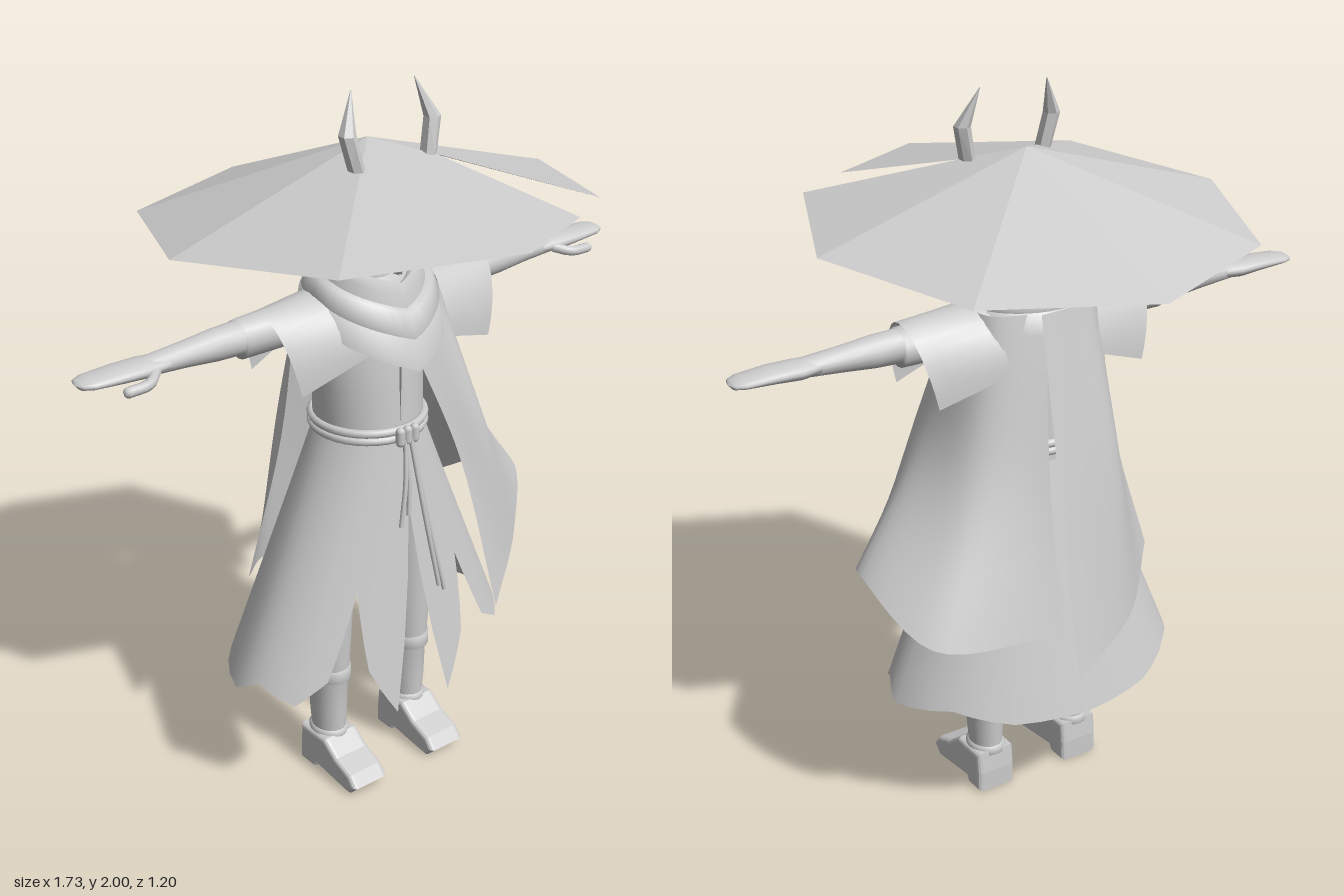
import * as THREE from 'three';
import { mergeVertices } from 'three/addons/utils/BufferGeometryUtils.js';

const grey = new THREE.MeshStandardMaterial({ color: 0xcccccc, side: THREE.DoubleSide });
grey.name = 'plain grey';

const V = (x, y, z) => new THREE.Vector3(x, y, z);

// Surface through rows of points, listed top to bottom
function sheet(rows, flat = false) {
  const n = rows[0].length, pos = [], idx = [];
  rows.forEach(r => r.forEach(p => pos.push(p.x, p.y, p.z)));
  for (let i = 0; i < rows.length - 1; i++) {
    for (let j = 0; j < n - 1; j++) {
      const a = i * n + j, b = a + n;
      idx.push(a, b, b + 1, a, b + 1, a + 1);
    }
  }
  let g = new THREE.BufferGeometry();
  g.setAttribute('position', new THREE.Float32BufferAttribute(pos, 3));
  g.setIndex(idx);
  g = flat ? g.toNonIndexed() : mergeVertices(g, 1e-4);
  g.computeVertexNormals();
  return g;
}

// Tube of elliptical rings [y, rx, rz, cx, cz], listed top to bottom
function loft(sections, sides = 20, flat = false) {
  return sheet(sections.map(([y, rx, rz, cx = 0, cz = 0]) =>
    Array.from({ length: sides + 1 }, (_, j) => {
      const t = (j % sides) / sides * Math.PI * 2;
      return V(cx + rx * Math.sin(t), y, cz + rz * Math.cos(t));
    })), flat);
}

// Cloth spanned by a few hanging edges, each a list of [x, y, z]
function cloth(edges, down = 12, across = 20) {
  const lines = edges.map(e => new THREE.CatmullRomCurve3(e.map(p => V(...p))).getPoints(down));
  return sheet(Array.from({ length: down + 1 }, (_, i) =>
    new THREE.CatmullRomCurve3(lines.map(l => l[i])).getPoints(across)));
}

function add(parent, name, geometry) {
  const m = new THREE.Mesh(geometry, grey);
  m.name = name;
  parent.add(m);
  return m;
}

// Octagonal tilted hat with a wedge torn out at the front
function hatGeometry() {
  const rimY = z => 1.667 + 0.0875 * z;
  const rim = [];
  for (let k = 1; k <= 8; k++) {
    const t = k * Math.PI / 4;
    rim.push([0.6 * Math.sin(t), 0.6 * Math.cos(t)]);
  }
  rim[0] = [0.435, 0.395];
  rim.push([0.28, 0.48]);
  const pts = rim.map(([x, z]) => V(x, rimY(z), z));
  const apex = V(0, 1.85, 0), notch = V(0.13, 1.807, 0.12);
  const tris = [];
  for (let k = 0; k < 7; k++) tris.push(apex, pts[k], pts[k + 1]);
  tris.push(apex, pts[7], notch, pts[7], pts[8], notch, apex, notch, pts[0]);
  const g = new THREE.BufferGeometry().setFromPoints(tris);
  g.computeVertexNormals();
  return g;
}

// Flared skirt whose hem has points and slits
function skirtGeometry() {
  const hem = [[0, 0.88], [0.19, 0.28], [0.41, 0.43], [0.565, 0.66], [0.72, 0.42], [0.95, 0.36],
    [1.35, 0.41], [1.65, 0.37], [2.2, 0.39], [2.65, 0.35], [Math.PI, 0.34]];
  const half = [];
  for (let k = 0; k < hem.length - 1; k++) {
    for (let s = 0; s < 3; s++) {
      half.push([0, 1].map(c => THREE.MathUtils.lerp(hem[k][c], hem[k + 1][c], s / 3)));
    }
  }
  half.push(hem[hem.length - 1]);
  const all = [...half.slice(1).reverse().map(([t, y]) => [-t, y]), ...half];
  return sheet(Array.from({ length: 9 }, (_, i) => all.map(([t, yEnd]) => {
    const y = THREE.MathUtils.lerp(1.07, yEnd, i / 8), d = 1.07 - y;
    const rz = Math.cos(t) > 0 ? 0.15 + 0.13 * d : 0.14 + 0.23 * d;
    return V((0.15 + 0.42 * d) * Math.sin(t), y, rz * Math.cos(t));
  })));
}

// Wrapped scarf layer drooping to a V at the front: rows of [radius, y, droop]
function scarfLayer(rows) {
  return sheet(rows.map(([r, y, droop]) => Array.from({ length: 41 }, (_, j) => {
    const t = (j % 40) / 40 * Math.PI * 2, a = Math.min(t, Math.PI * 2 - t);
    const f = Math.max(0, 1 - a / 1.5);
    return V(r * Math.sin(t), y - droop * f, r * Math.cos(t) * (0.9 + 0.12 * f) + 0.01);
  })));
}

// Short open sleeve hanging over the shoulder
function sleeveGeometry(reach) {
  const rows = [];
  for (let i = 0; i <= 6; i++) {
    const u = i / 6, row = [];
    for (let j = 0; j <= 16; j++) {
      const a = Math.PI * j / 16, c = Math.cos(a), s = Math.sin(a);
      const drop = 1 - s;
      row.push(V(0.1 + (reach - 0.1) * u - 0.05 * u * drop,
        1.48 - 0.02 * u - (0.16 + 0.05 * u) * drop, (0.14 - 0.03 * u) * c - 0.01));
    }
    rows.push(row);
  }
  return sheet(rows);
}

function buildArm(side) {
  const arm = new THREE.Group();
  arm.name = side > 0 ? 'leftArm' : 'rightArm';
  const along = s => loft(s, 16).rotateZ(Math.PI / 2);
  add(arm, 'upperSleeve', along([[-0.1, 0.06, 0.07, 1.41, -0.02], [-0.4, 0.052, 0.052, 1.4, -0.02],
    [-0.41, 0.01, 0.01, 1.4, -0.02]]));
  add(arm, 'forearm', along([[-0.38, 0.045, 0.046, 1.405, -0.02], [-0.47, 0.042, 0.043, 1.405, -0.02],
    [-0.56, 0.033, 0.037, 1.405, -0.02], [-0.68, 0.023, 0.034, 1.405, -0.018]]));
  add(arm, 'hand', along([[-0.62, 0.02, 0.035, 1.405, -0.018], [-0.68, 0.024, 0.045, 1.405, -0.02],
    [-0.75, 0.02, 0.047, 1.408, -0.02], [-0.83, 0.014, 0.043, 1.408, -0.023],
    [-0.855, 0.01, 0.03, 1.407, -0.025], [-0.863, 0.001, 0.005, 1.407, -0.025]]));
  const thumb = new THREE.CatmullRomCurve3([V(0.66, 1.4, 0.01), V(0.7, 1.388, 0.042), V(0.76, 1.385, 0.045)]);
  add(arm, 'thumb', new THREE.TubeGeometry(thumb, 8, 0.014, 8));
  add(arm, 'thumbTip', new THREE.SphereGeometry(0.014, 8, 6)).position.set(0.76, 1.385, 0.045);
  add(arm, 'shoulderSleeve', sleeveGeometry(side > 0 ? 0.39 : 0.34));
  arm.scale.x = side;
  return arm;
}

function buildLeg(side) {
  const leg = new THREE.Group();
  leg.name = side > 0 ? 'leftLeg' : 'rightLeg';
  add(leg, 'trouserLeg', loft([[0.85, 0.08, 0.09], [0.5, 0.068, 0.075], [0.32, 0.056, 0.066]]));
  add(leg, 'bootShaft', loft([[0.345, 0.05, 0.06], [0.34, 0.06, 0.074], [0.305, 0.06, 0.074],
    [0.3, 0.052, 0.064], [0.2, 0.05, 0.06], [0.13, 0.045, 0.055], [0.09, 0.046, 0.055]]));
  add(leg, 'ankleBand', loft([[0.135, 0.046, 0.055], [0.13, 0.053, 0.062], [0.112, 0.054, 0.064], [0.106, 0.046, 0.055]]));
  const outline = [[-0.05, 0.012], [-0.005, 0.012], [0.005, 0.03], [0.07, 0.022], [0.16, 0.012],
    [0.178, 0.03], [0.16, 0.052], [0.1, 0.075], [0.05, 0.112], [-0.045, 0.112], [-0.05, 0.06]];
  const boot = new THREE.ExtrudeGeometry(new THREE.Shape(outline.map(p => new THREE.Vector2(...p))),
    { depth: 0.09, bevelSize: 0.012, bevelThickness: 0.014, bevelSegments: 3 });
  add(leg, 'bootFoot', boot.translate(0, 0, -0.045).rotateY(-Math.PI / 2));
  leg.position.x = 0.143 * side;
  return leg;
}

export function createModel() {
  const model = new THREE.Group();
  model.name = 'wanderer';

  add(model, 'hat', hatGeometry());
  // Bent horns, head and mask
  for (const s of [-1, 1]) {
    add(model, 'horn', loft([[2, 0.001, 0.001, 0.1, 0.06], [1.9, 0.022, 0.024, 0.135, 0.09],
      [1.81, 0.02, 0.026, 0.115, 0.1]], 6, true)).scale.x = s;
    const brow = add(model, 'brow', new THREE.BoxGeometry(0.12, 0.02, 0.025));
    brow.position.set(0.062 * s, 1.695, 0.135);
    brow.rotation.set(0, 0.5 * s, 0.45 * s);
    const cheek = add(model, 'cheekRidge', new THREE.BoxGeometry(0.1, 0.014, 0.02));
    cheek.position.set(0.055 * s, 1.63, 0.125);
    cheek.rotation.set(0, 0.5 * s, 0.6 * s);
  }
  add(model, 'head', new THREE.SphereGeometry(0.125, 24, 18).scale(1, 1.1, 1.02)).position.set(0, 1.68, -0.005);
  add(model, 'neck', loft([[1.6, 0.06, 0.06], [1.45, 0.075, 0.07]]));
  const mask = [[1.78, 0.09, 0.1, 0.06], [1.71, 0.13, 0.145, 0.04], [1.67, 0.125, 0.135, 0.03],
    [1.61, 0.085, 0.15, 0.05], [1.57, 0.05, 0.14, 0.08], [1.52, 0.008, 0.12, 0.11]];
  add(model, 'mask', sheet(mask.map(([y, w, zc, zs]) => [-1, -0.5, 0, 0.5, 1].map(k =>
    V(k * w, y, k === 0 ? zc : Math.abs(k) === 1 ? zs : (zc + zs) / 2 + 0.02))), true));

  // Scarf
  add(model, 'scarfTop', scarfLayer([[0.1, 1.53, 0.05], [0.125, 1.56, 0.06], [0.14, 1.54, 0.07], [0.15, 1.49, 0.09]]));
  add(model, 'scarfMiddle', scarfLayer([[0.13, 1.51, 0.07], [0.165, 1.51, 0.08], [0.185, 1.47, 0.1], [0.17, 1.44, 0.11]]));
  add(model, 'scarfBottom', scarfLayer([[0.14, 1.47, 0.06], [0.185, 1.46, 0.1], [0.2, 1.41, 0.13]]));

  // Body and skirt
  add(model, 'torso', loft([[1.5, 0.06, 0.06], [1.47, 0.14, 0.1], [1.37, 0.165, 0.13], [1.2, 0.155, 0.138], [1.04, 0.15, 0.148]], 28));
  add(model, 'robeSeam', new THREE.BoxGeometry(0.006, 0.2, 0.008)).position.set(0, 1.2, 0.14);
  add(model, 'skirt', skirtGeometry());

  // Belt with knot and hanging cords
  for (const y of [1.07, 1.092]) {
    add(model, 'beltCord', new THREE.TorusGeometry(0.152, 0.012, 8, 36).rotateX(Math.PI / 2)).position.y = y;
  }
  for (const x of [-0.024, 0, 0.024]) {
    add(model, 'beltKnot', new THREE.CapsuleGeometry(0.013, 0.03, 4, 8)).position.set(x, 1.08, 0.168);
  }
  for (const [x, y, z] of [[-0.045, 0.83, 0.2], [-0.02, 0.86, 0.2], [0.07, 0.62, 0.225], [0.09, 0.6, 0.225]]) {
    const path = new THREE.CatmullRomCurve3([V(x * 0.15, 1.07, 0.168), V(x * 0.5, (1.07 + y) / 2, (0.168 + z) / 2 + 0.005), V(x, y, z)]);
    add(model, 'hangingCord', new THREE.TubeGeometry(path, 12, 0.007, 6));
  }

  // Cloak sweeping over the left shoulder, and the panel down the back
  add(model, 'cloak', cloth([
    [[0.02, 1.33, 0.16], [0.16, 0.97, 0.2], [0.26, 0.49, 0.255]],
    [[0.13, 1.43, 0.13], [0.26, 1.02, 0.19], [0.41, 0.64, 0.16]],
    [[0.19, 1.46, 0.02], [0.3, 1.08, 0.05], [0.52, 0.78, 0.02]],
    [[0.17, 1.46, -0.1], [0.27, 1.05, -0.14], [0.45, 0.65, -0.25]],
    [[0.04, 1.46, -0.15], [0.08, 1.05, -0.23], [0.1, 0.62, -0.32]]], 14, 28));
  add(model, 'backPanel', cloth([
    [[0.06, 1.46, -0.16], [0.065, 1, -0.255], [0.07, 0.49, -0.36]],
    [[-0.09, 1.46, -0.15], [-0.14, 1.02, -0.22], [-0.16, 0.57, -0.27]],
    [[-0.19, 1.42, -0.06], [-0.23, 1.05, -0.08], [-0.35, 0.66, -0.08]]]));

  for (const s of [-1, 1]) model.add(buildArm(s), buildLeg(s));
  return model;
}
